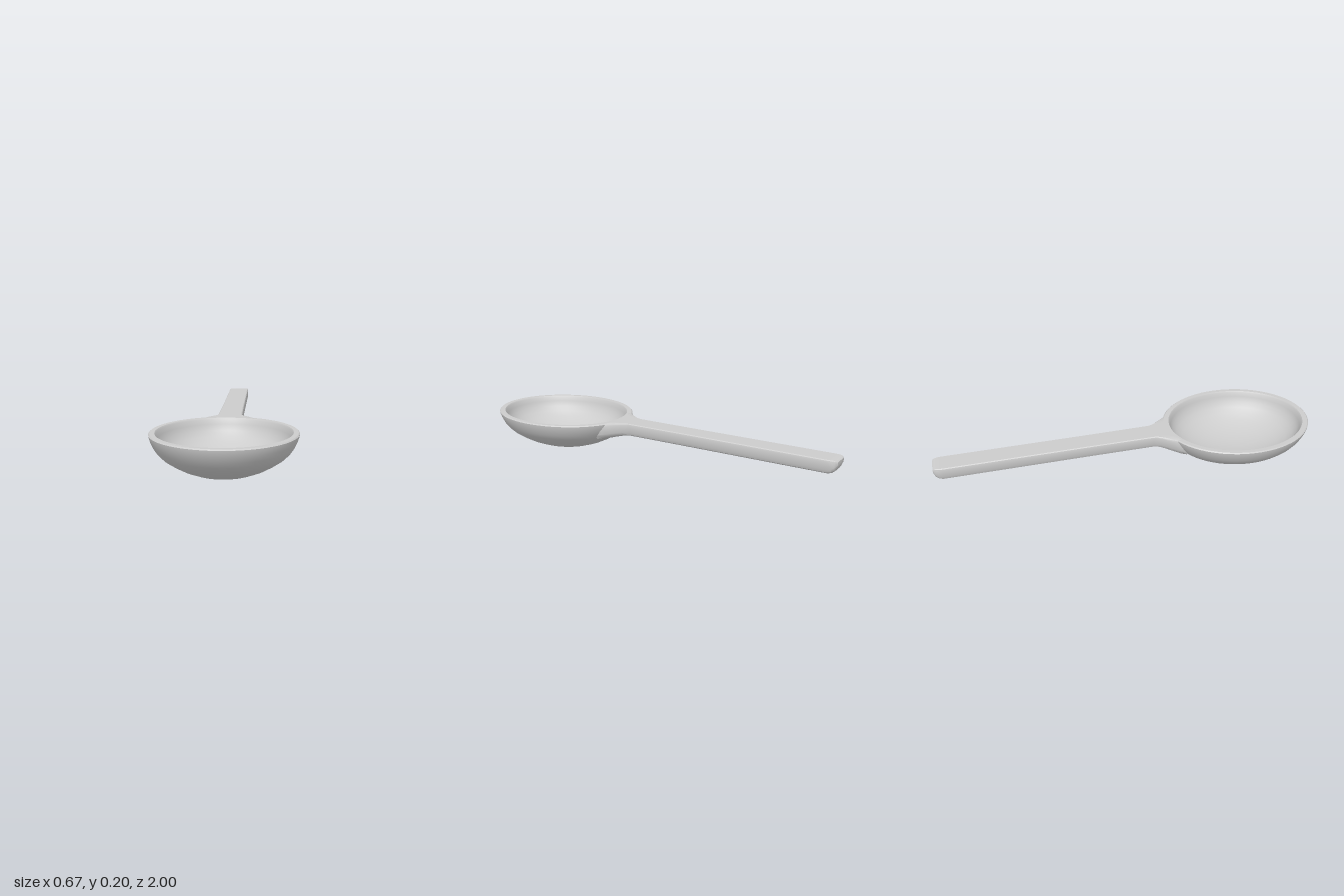
import * as THREE from 'three';
import { toCreasedNormals } from 'three/addons/utils/BufferGeometryUtils.js';

const RX = 0.333, RZ = 0.4, CZ = 0.6; // bowl outline: half width, half length, centre

// Elliptical bowl: outer skin, rounded rim, then inner skin, as one closed profile
function bowlGeometry() {
  const profile = [
    [0, 0.002], [0.15, 0.004], [0.3, 0.011], [0.45, 0.025], [0.6, 0.046], [0.72, 0.069],
    [0.82, 0.092], [0.89, 0.115], [0.94, 0.139], [0.975, 0.165], [0.995, 0.185], [1, 0.195], [0.985, 0.2],
    [0.92, 0.2], [0.905, 0.193], [0.89, 0.17], [0.855, 0.14], [0.8, 0.115], [0.72, 0.09],
    [0.6, 0.066], [0.45, 0.045], [0.3, 0.032], [0.15, 0.025], [0, 0.023],
  ].map(([r, y]) => new THREE.Vector2(r, y));
  const geo = new THREE.LatheGeometry(profile, 64);
  geo.scale(RX, 1, RZ);
  geo.translate(0, 0, CZ);
  return toCreasedNormals(geo, 0.6);
}

// Keeps a neck point from passing through the bowl wall into the hollow
function stopInWall(x, y, z) {
  const d = 0.2 - y;
  const f = 0.95 - 0.4 * d - 9 * d * d;
  return Math.min(z, CZ - RZ * Math.sqrt(Math.max(0, f * f - (x / RX) ** 2)));
}

// Handle and flared neck: one cross-section lofted along z
function handleGeometry() {
  // right half of the section, bottom to top: x as share of half width, y as share of height
  const half = [[0.25, 0], [0.5, 0], [0.72, 0.03], [0.9, 0.13], [1, 0.35], [1, 0.85],
    [0.97, 0.95], [0.9, 1], [0.6, 1], [0.3, 1]];
  const section = [[0, 0], ...half, [0, 1], ...half.map(([u, v]) => [-u, v]).reverse()];
  // z, half width, bottom, top
  const stations = [
    [-1, 0.042, 0.17, 0.192], [-0.99, 0.053, 0.148, 0.199], [-0.975, 0.058, 0.135, 0.2],
    [-0.955, 0.06, 0.13, 0.2], [-0.2, 0.06, 0.13, 0.2], [0.12, 0.062, 0.13, 0.2],
    [0.14, 0.066, 0.129, 0.2], [0.16, 0.077, 0.127, 0.2], [0.19, 0.1, 0.121, 0.2],
    [0.22, 0.122, 0.114, 0.2], [0.25, 0.14, 0.105, 0.2], [0.28, 0.145, 0.096, 0.2],
  ];
  const n = section.length, pos = [], index = [];
  for (const [z, w, y0, y1] of stations) {
    for (const [u, v] of section) {
      const x = u * w, y = y0 + v * (y1 - y0);
      pos.push(x, y, stopInWall(x, y, z));
    }
  }
  for (let s = 0; s < stations.length - 1; s++) {
    for (let i = 0; i < n; i++) {
      const a = s * n + i, b = s * n + (i + 1) % n;
      index.push(a, b, b + n, a, b + n, a + n);
    }
  }
  // end cap
  pos.push(0, 0.182, -1);
  for (let i = 0; i < n; i++) index.push(stations.length * n, (i + 1) % n, i);
  const geo = new THREE.BufferGeometry();
  geo.setAttribute('position', new THREE.Float32BufferAttribute(pos, 3));
  geo.setIndex(index);
  return toCreasedNormals(geo, 0.6);
}

export function createModel() {
  const group = new THREE.Group();
  group.name = 'spoon';
  const material = new THREE.MeshStandardMaterial({ color: 0xcccccc });
  const add = (name, geometry) => {
    const mesh = new THREE.Mesh(geometry, material);
    mesh.name = name;
    group.add(mesh);
  };
  add('bowl', bowlGeometry());
  add('handle', handleGeometry());
  return group;
}
